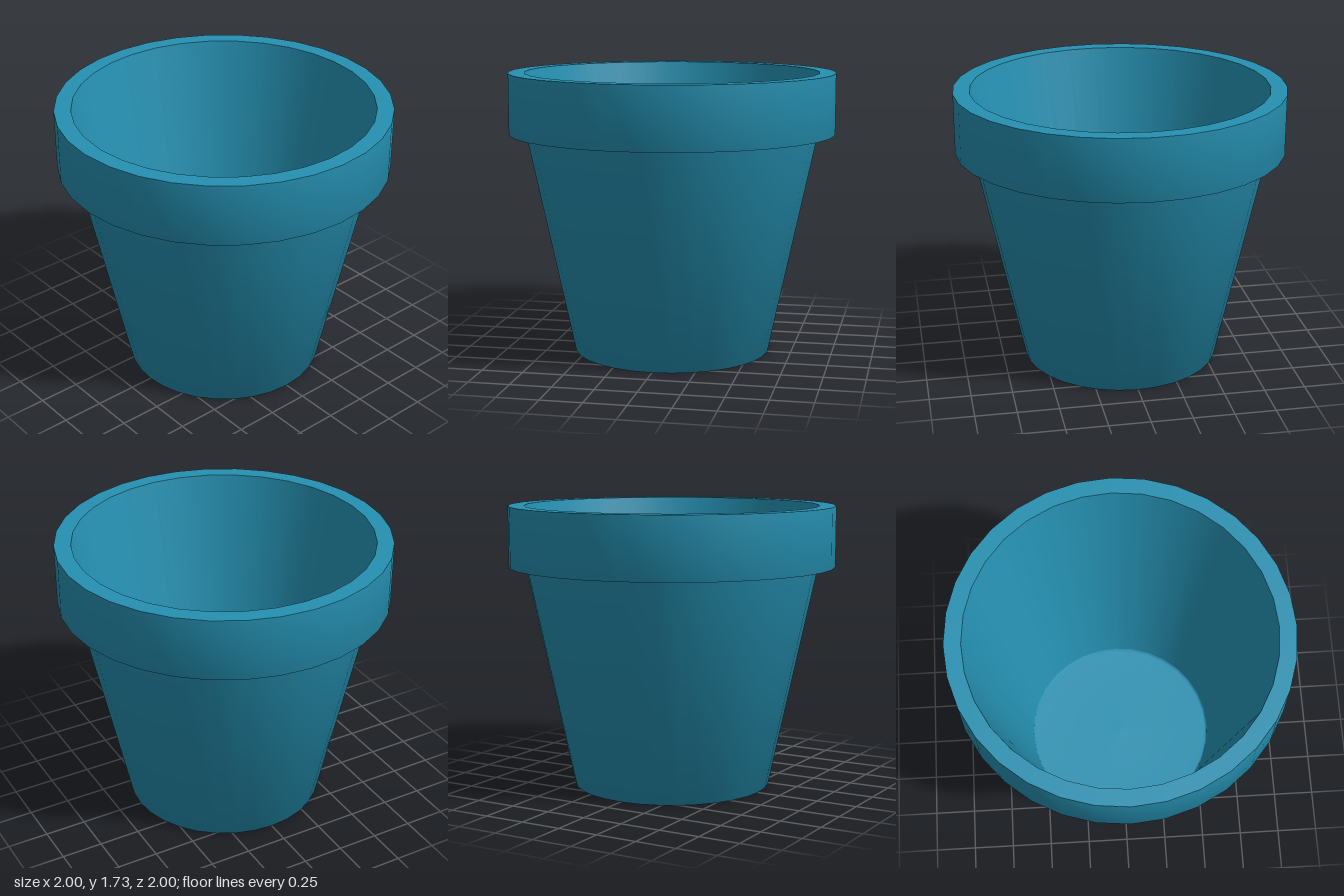
import * as THREE from 'three';

const SIDES = 32;

export function createModel() {
  const group = new THREE.Group();
  group.name = 'flowerPot';
  const glaze = new THREE.MeshStandardMaterial({ color: 0x2590b1, side: THREE.DoubleSide });
  glaze.name = 'teal glaze';

  // Turn a [radius, height] profile around the y axis
  function turned(name, profile) {
    const points = profile.map(([r, y]) => new THREE.Vector2(r, y));
    const mesh = new THREE.Mesh(new THREE.LatheGeometry(points, SIDES), glaze);
    mesh.name = name;
    group.add(mesh);
  }

  // Base, tapered body and collar share smooth normals
  turned('outerBody', [[0, 0], [0.605, 0], [0.895, 1.36], [1, 1.36], [1, 1.73]]);
  // Flat lip with sharp edges on both sides
  turned('rimTop', [[1, 1.73], [0.9, 1.73]]);
  // Tapered inside wall
  turned('innerWall', [[0.9, 1.73], [0.585, 0.05]]);
  // Inside floor with a small rounded corner
  turned('innerFloor', [[0.585, 0.05], [0.57, 0.03], [0, 0.03]]);

  return group;
}
